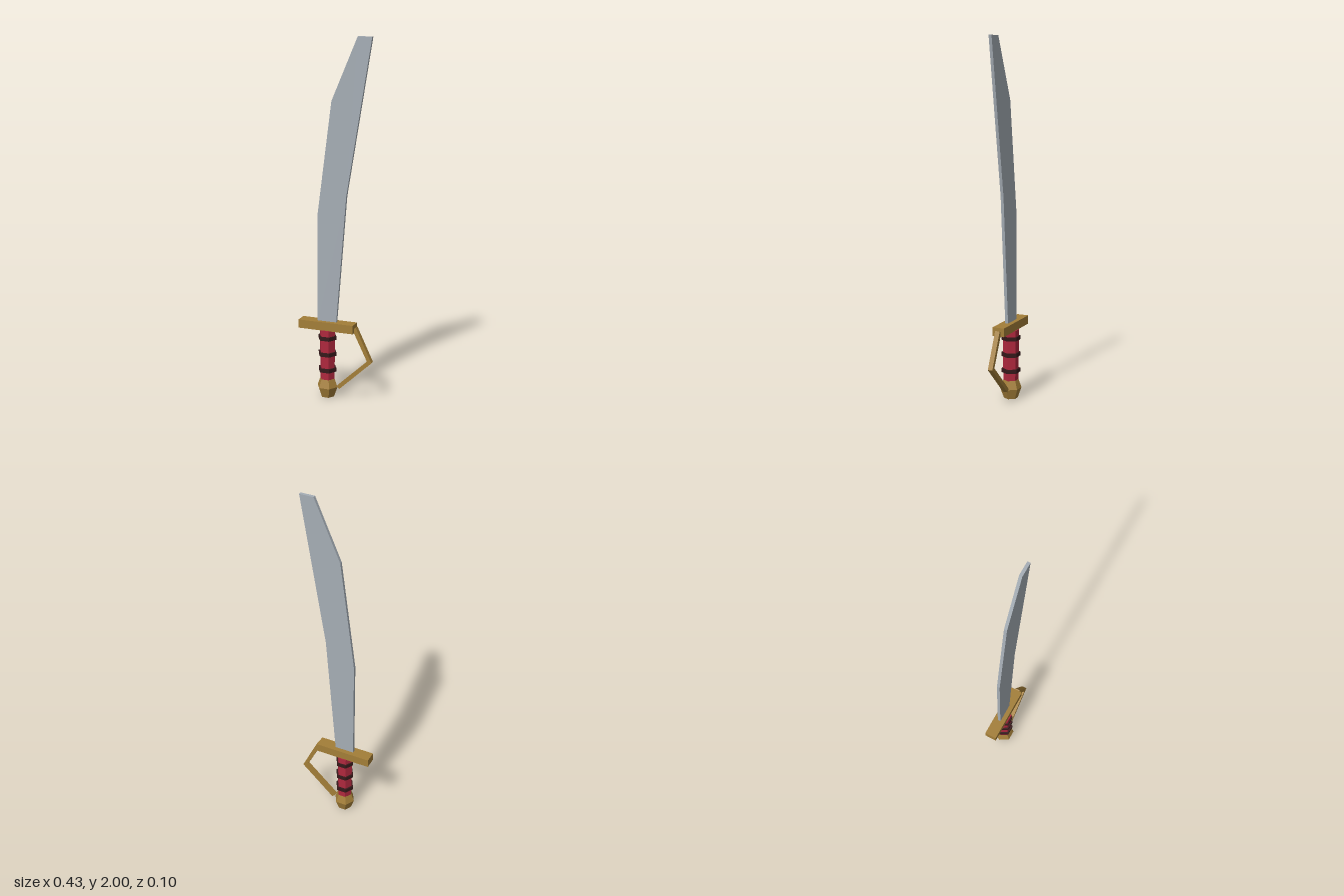
import * as THREE from 'three';

const material = (name, color) => {
  const m = new THREE.MeshStandardMaterial({ color, flatShading: true });
  m.name = name;
  return m;
};

export function createModel() {
  const steel = material('steel', 0xa5adb5);
  const brass = material('brass', 0xa37e38);
  const red = material('redGrip', 0xb0283e);
  const leather = material('darkLeather', 0x35191a);

  const group = new THREE.Group();
  group.name = 'cutlass';
  const GRIP_X = -0.055;

  const add = (name, geometry, mat, x = 0, y = 0, z = 0) => {
    const mesh = new THREE.Mesh(geometry, mat);
    mesh.name = name;
    mesh.position.set(x, y, z);
    group.add(mesh);
    return mesh;
  };

  // Six-sided section around the grip axis, corners pointing along x
  const hex = (name, rTop, rBottom, y0, y1, mat) => {
    const g = new THREE.CylinderGeometry(rTop, rBottom, y1 - y0, 6);
    g.rotateY(Math.PI / 6);
    return add(name, g, mat, GRIP_X, (y0 + y1) / 2);
  };

  // Curved flat blade with a clipped tip
  const outline = [
    [-0.11, 0.435], [0, 0.435], [0.058, 1.15], [0.2, 2],
    [0.12, 2], [-0.027, 1.66], [-0.11, 1.03],
  ].map(([x, y]) => new THREE.Vector2(x, y));
  const depth = 0.017;
  add('blade', new THREE.ExtrudeGeometry(new THREE.Shape(outline), { depth, bevelEnabled: false }),
    steel, 0, 0, -depth / 2);

  // Crossguard
  add('crossguard', new THREE.BoxGeometry(0.322, 0.048, 0.068), brass, -0.054, 0.415);

  // Grip with three leather bands
  hex('grip', 0.046, 0.042, 0.1, 0.392, red);
  for (const y of [0.16, 0.253, 0.346]) hex('gripBand', 0.053, 0.053, y - 0.011, y + 0.011, leather);

  // Faceted pommel
  hex('pommelTop', 0.043, 0.06, 0.058, 0.105, brass);
  hex('pommelBottom', 0.06, 0.039, 0, 0.058, brass);

  // Knuckle bow: square bar bent at the elbow, lower half twisted a quarter turn
  const w = 0.0135;
  const ring = (ox, oy, ix, iy) => [[ox, oy, w], [ox, oy, -w], [ix, iy, -w], [ix, iy, w]];
  const top = ring(0.118, 0.423, 0.098, 0.41);
  const elbow = ring(0.21, 0.23, 0.184, 0.236);
  const end = ring(0.02, 0.053, 0.003, 0.068);
  const pos = [];
  const quad = (a, b, c, d) => pos.push(...a, ...d, ...c, ...a, ...c, ...b);
  const span = (r0, r1, shift) => {
    for (let k = 0; k < 4; k++) {
      const n = (k + 1) % 4;
      quad(r0[k], r0[n], r1[(n + shift) % 4], r1[(k + shift) % 4]);
    }
  };
  span(top, elbow, 0);
  span(elbow, end, 3);
  quad(top[0], top[3], top[2], top[1]);
  quad(end[0], end[1], end[2], end[3]);
  const bow = new THREE.BufferGeometry();
  bow.setAttribute('position', new THREE.Float32BufferAttribute(pos, 3));
  bow.computeVertexNormals();
  add('knuckleBow', bow, brass);

  return group;
}
